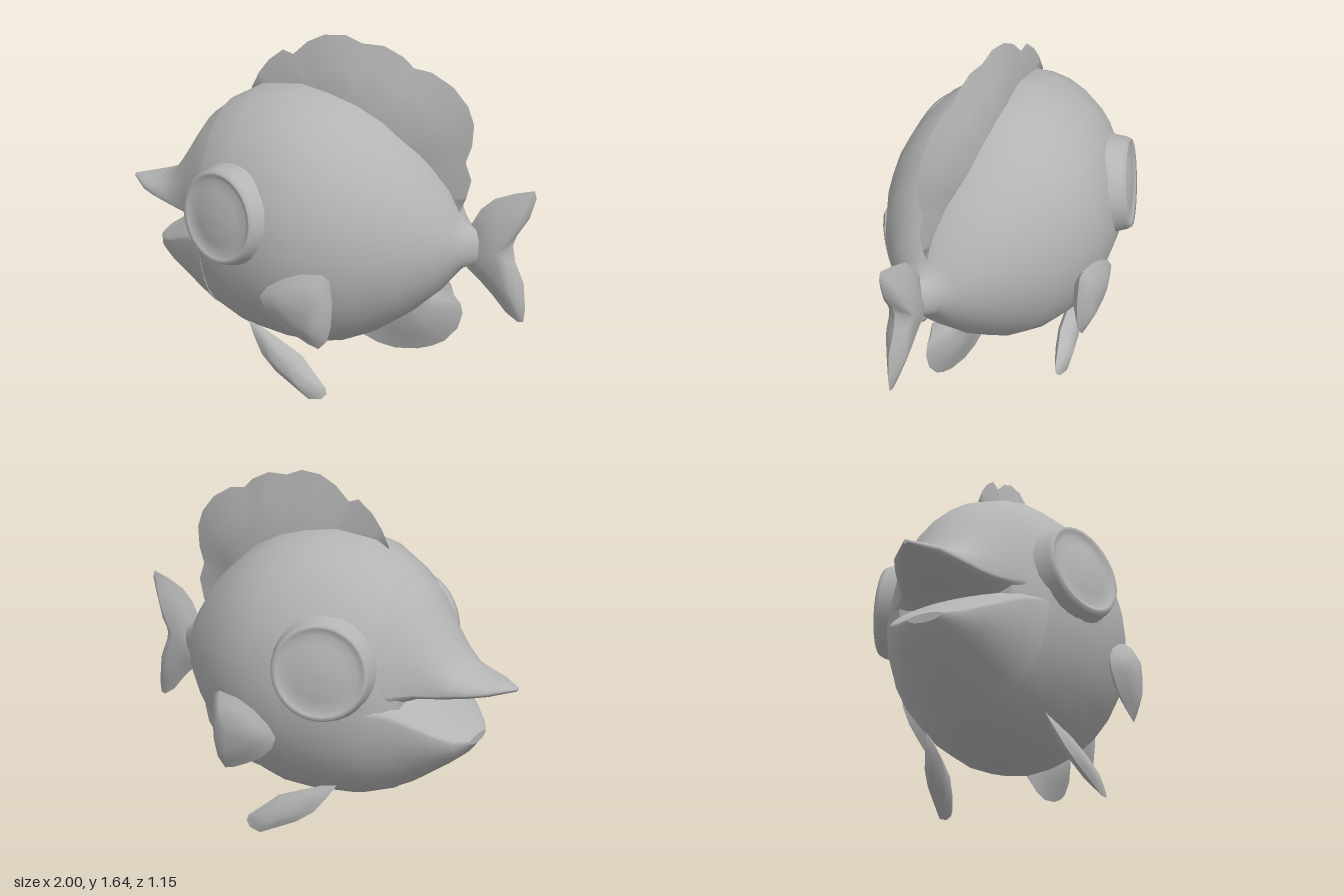
import * as THREE from 'three';

const skin = new THREE.MeshStandardMaterial({ color: 0xb4b4b4 });
skin.name = 'grey skin';

function toMesh(name, positions, index) {
  const geometry = new THREE.BufferGeometry();
  geometry.setAttribute('position', new THREE.Float32BufferAttribute(positions, 3));
  geometry.setIndex(index);
  geometry.computeVertexNormals();
  const mesh = new THREE.Mesh(geometry, skin);
  mesh.name = name;
  return mesh;
}

// Skin over oval sections along x; each is [x, top, middle, bottom, half width]
function loft(name, sections, sides = 28) {
  const pos = [], index = [];
  const addRing = ([x, top, mid, bottom, w]) => {
    const start = pos.length / 3;
    for (let j = 0; j < sides; j++) {
      const a = (j / sides) * Math.PI * 2, s = Math.sin(a);
      pos.push(x, mid + s * (s > 0 ? top - mid : mid - bottom), Math.cos(a) * w);
    }
    return start;
  };
  const rings = sections.map(addRing);
  for (let i = 0; i + 1 < rings.length; i++) {
    for (let j = 0; j < sides; j++) {
      const k = (j + 1) % sides;
      const a = rings[i] + j, b = rings[i + 1] + j, c = rings[i] + k, d = rings[i + 1] + k;
      index.push(a, b, c, b, d, c);
    }
  }
  // End caps with their own vertices, so the rim stays sharp
  [sections[0], sections.at(-1)].forEach((section, end) => {
    const ring = addRing(section), centre = pos.length / 3;
    pos.push(section[0], section[2], 0);
    for (let j = 0; j < sides; j++) {
      const k = (j + 1) % sides;
      index.push(centre, ring + (end ? k : j), ring + (end ? j : k));
    }
  });
  return toMesh(name, pos, index);
}

// Fin: sharp outline swelling to a ridge around a centre point, on both faces.
// taper thins it toward the first and last outline points; zAt places it sideways.
function fin(name, outline, [cx, cy], thick, { ridge = 0.5, taper = false, zAt = () => 0 } = {}) {
  const pts = THREE.ShapeUtils.area(outline.map(p => new THREE.Vector2(...p))) < 0
    ? [...outline].reverse() : outline;
  const n = pts.length, pos = [], index = [];
  const levels = [[0, 0], [ridge * 0.5, 0.48], [ridge, 0.92]];
  for (const side of [1, -1]) {
    const start = pos.length / 3;
    const tri = (a, b, c) => side > 0 ? index.push(a, b, c) : index.push(a, c, b);
    for (const [t, h] of levels) {
      pts.forEach(([px, py], j) => {
        const x = px + (cx - px) * t, y = py + (cy - py) * t;
        const s = taper ? Math.sin((j / (n - 1)) * Math.PI) : 1;
        pos.push(x, y, zAt(y) + side * thick * h * s);
      });
    }
    const centre = pos.length / 3;
    pos.push(cx, cy, zAt(cy) + side * thick);
    for (let j = 0; j < n; j++) {
      const k = (j + 1) % n;
      for (let r = 0; r < levels.length - 1; r++) {
        const a = start + r * n, b = a + n;
        tri(a + j, a + k, b + j);
        tri(a + k, b + k, b + j);
      }
      tri(start + 2 * n + j, start + 2 * n + k, centre);
    }
  }
  return toMesh(name, pos, index);
}

export function createModel() {
  const model = new THREE.Group();
  model.name = 'fish';

  // Round body narrowing to the tail stem; its front cap closes the mouth
  model.add(loft('body', [
    [-0.57, 1.14, 0.74, 0.33, 0.27],
    [-0.52, 1.22, 0.75, 0.28, 0.34], [-0.46, 1.28, 0.76, 0.23, 0.4], [-0.3, 1.37, 0.77, 0.17, 0.48],
    [-0.1, 1.4, 0.77, 0.15, 0.525], [0.05, 1.385, 0.77, 0.15, 0.53], [0.18, 1.35, 0.77, 0.18, 0.5],
    [0.3, 1.29, 0.76, 0.24, 0.455], [0.47, 1.15, 0.75, 0.37, 0.35], [0.6, 0.98, 0.74, 0.5, 0.225],
    [0.65, 0.88, 0.73, 0.57, 0.155], [0.69, 0.83, 0.725, 0.62, 0.1], [0.74, 0.82, 0.725, 0.635, 0.065],
    [0.76, 0.8, 0.725, 0.65, 0.05],
  ]));

  // Pointed upper lip rising into the forehead
  model.add(loft('upperLip', [
    [-1, 0.82, 0.81, 0.8, 0.01], [-0.9, 0.838, 0.8, 0.77, 0.11], [-0.83, 0.86, 0.79, 0.755, 0.145],
    [-0.76, 0.89, 0.785, 0.743, 0.175], [-0.7, 0.97, 0.78, 0.735, 0.2], [-0.62, 1.1, 0.78, 0.73, 0.24],
    [-0.55, 1.2, 0.78, 0.7, 0.31], [-0.46, 1.27, 0.78, 0.65, 0.39],
  ]));

  // Lower jaw
  model.add(loft('lowerJaw', [
    [-0.825, 0.565, 0.55, 0.525, 0.08], [-0.78, 0.595, 0.56, 0.465, 0.16], [-0.71, 0.635, 0.6, 0.405, 0.23],
    [-0.63, 0.71, 0.64, 0.345, 0.285], [-0.55, 0.76, 0.68, 0.285, 0.335], [-0.46, 0.78, 0.7, 0.235, 0.395],
  ]));

  // Fins along the middle
  model.add(fin('dorsalFin', [
    [-0.36, 1.34], [-0.32, 1.42], [-0.27, 1.485], [-0.2, 1.54], [-0.15, 1.525], [-0.08, 1.59],
    [0, 1.63], [0.1, 1.64], [0.18, 1.61], [0.28, 1.61], [0.37, 1.57], [0.42, 1.525], [0.5, 1.515],
    [0.6, 1.46], [0.67, 1.38], [0.7, 1.3], [0.695, 1.2], [0.67, 1.12], [0.7, 1.04], [0.68, 0.95], [0.65, 0.87],
  ], [0.15, 1.0], 0.07, { ridge: 0.4, taper: true }));
  model.add(fin('analFin', [
    [0.12, 0.2], [0.19, 0.165], [0.28, 0.13], [0.37, 0.12], [0.48, 0.14], [0.55, 0.17], [0.61, 0.21],
    [0.67, 0.29], [0.69, 0.37], [0.68, 0.42], [0.645, 0.46], [0.63, 0.51], [0.6, 0.55],
  ], [0.35, 0.52], 0.07, { ridge: 0.4, taper: true }));
  model.add(fin('tailFin', [
    [0.69, 0.71], [0.71, 0.83], [0.75, 0.91], [0.81, 0.97], [0.9, 1.01], [0.985, 1.035], [0.995, 1],
    [0.97, 0.9], [0.92, 0.81], [0.905, 0.76], [0.92, 0.68], [0.965, 0.58], [0.98, 0.45], [0.975, 0.385],
    [0.95, 0.38], [0.89, 0.42], [0.83, 0.49], [0.76, 0.56], [0.7, 0.61],
  ], [0.84, 0.73], 0.055));

  for (const [label, side] of [['left', -1], ['right', 1]].map(([l, s]) => [l, s])) {
    // Side fins
    model.add(fin(label + 'PectoralFin', [
      [-0.1, 0.565], [-0.06, 0.62], [0.02, 0.675], [0.1, 0.71], [0.2, 0.725], [0.23, 0.705], [0.245, 0.6],
      [0.24, 0.48], [0.22, 0.4], [0.18, 0.355], [0.13, 0.37], [0.06, 0.405], [-0.02, 0.45], [-0.08, 0.51],
    ], [0.14, 0.56], 0.05, { zAt: () => side * 0.522 }));
    model.add(fin(label + 'PelvicFin', [
      [-0.27, 0.285], [-0.2, 0.27], [-0.1, 0.23], [0.02, 0.18], [0.1, 0.11], [0.16, 0.06], [0.165, 0.035],
      [0.14, 0.01], [0.08, 0], [0, 0.04], [-0.1, 0.09], [-0.18, 0.15], [-0.23, 0.22],
    ], [-0.03, 0.14], 0.035, { zAt: y => side * (0.4 - y * 0.4) }));

    // Shallow dished eye on a flared socket
    const profile = [[0.26, -0.16], [0.225, -0.06], [0.215, -0.015], [0.205, 0.005], [0.19, 0],
      [0.165, -0.012], [0.12, -0.002], [0.06, 0.006], [0, 0.008]].map(p => new THREE.Vector2(...p));
    const eye = new THREE.Mesh(new THREE.LatheGeometry(profile, 28), skin);
    eye.name = label + 'Eye';
    eye.position.set(-0.31, 0.9, side * 0.5);
    eye.quaternion.setFromUnitVectors(new THREE.Vector3(0, 1, 0),
      new THREE.Vector3(-0.33, 0.12, side * 0.93).normalize());
    model.add(eye);
  }
  return model;
}
